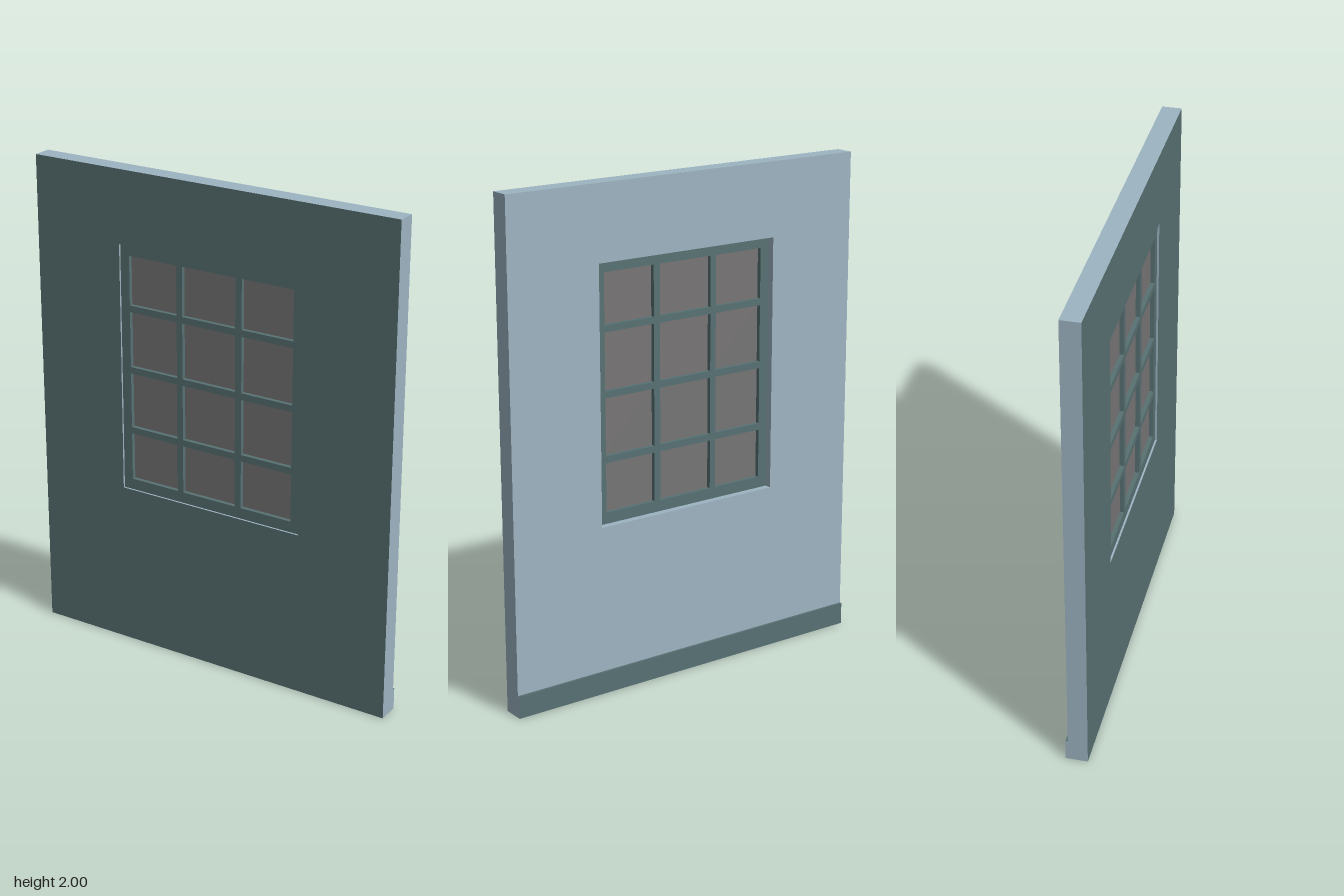
import * as THREE from 'three';

const mat = (name, color) => {
  const m = new THREE.MeshStandardMaterial({ color });
  m.name = name;
  return m;
};

// Trace a rectangle on a Shape or Path
const rect = (path, x0, x1, y0, y1) => {
  path.moveTo(x0, y0);
  path.lineTo(x1, y0);
  path.lineTo(x1, y1);
  path.lineTo(x0, y1);
  path.closePath();
  return path;
};

// Flat panel with rectangular holes, from z0 to z1
const panel = (outline, holes, z0, z1) => {
  const shape = rect(new THREE.Shape(), ...outline);
  for (const h of holes) shape.holes.push(rect(new THREE.Path(), ...h));
  return new THREE.ExtrudeGeometry(shape, { depth: z1 - z0, bevelEnabled: false }).translate(0, 0, z0);
};

export function createModel() {
  const teal = mat('dark teal paint', 0x587173);
  const blue = mat('pale blue paint', 0x9eb4c2);
  const grey = mat('grey glass', 0x777575);

  const model = new THREE.Group();
  model.name = 'wallWithWindow';
  const add = (name, geometry, material) => {
    const mesh = new THREE.Mesh(geometry, material);
    mesh.name = name;
    model.add(mesh);
  };

  const opening = [-0.41, 0.405, 0.68, 1.703];
  const columns = [[-0.37, -0.153], [-0.127, 0.112], [0.14, 0.365]];
  const rows = [[0.725, 0.923], [0.95, 1.178], [1.205, 1.433], [1.46, 1.661]];
  const cells = rows.flatMap((r) => columns.map((c) => [...c, ...r]));

  // Wall: blue back and edges, teal front
  const wall = panel([-0.797, 0.797, 0, 2], [opening], -0.034, 0.044);
  const [caps, edges] = wall.groups.map((g) => ({ ...g }));
  wall.clearGroups();
  wall.addGroup(caps.start, caps.count / 2, 0);
  wall.addGroup(caps.start + caps.count / 2, caps.count / 2, 1);
  wall.addGroup(edges.start, edges.count, 0);
  add('wall', wall, [blue, teal]);

  // Skirting along the back: teal top and rear, blue ends and underside
  const skirting = new THREE.BoxGeometry(1.594, 0.09, 0.01).translate(0, 0.045, -0.039);
  add('skirting', skirting, [blue, blue, teal, blue, teal, teal]);

  // Window frame with its glazing bars, set slightly back from the front
  add('windowFrame', panel(opening, cells, -0.006, 0.036), teal);

  // Glass panes
  for (const [x0, x1, y0, y1] of cells) {
    const pane = new THREE.BoxGeometry(x1 - x0, y1 - y0, 0.008);
    add('windowPane', pane.translate((x0 + x1) / 2, (y0 + y1) / 2, 0.015), grey);
  }

  return model;
}
